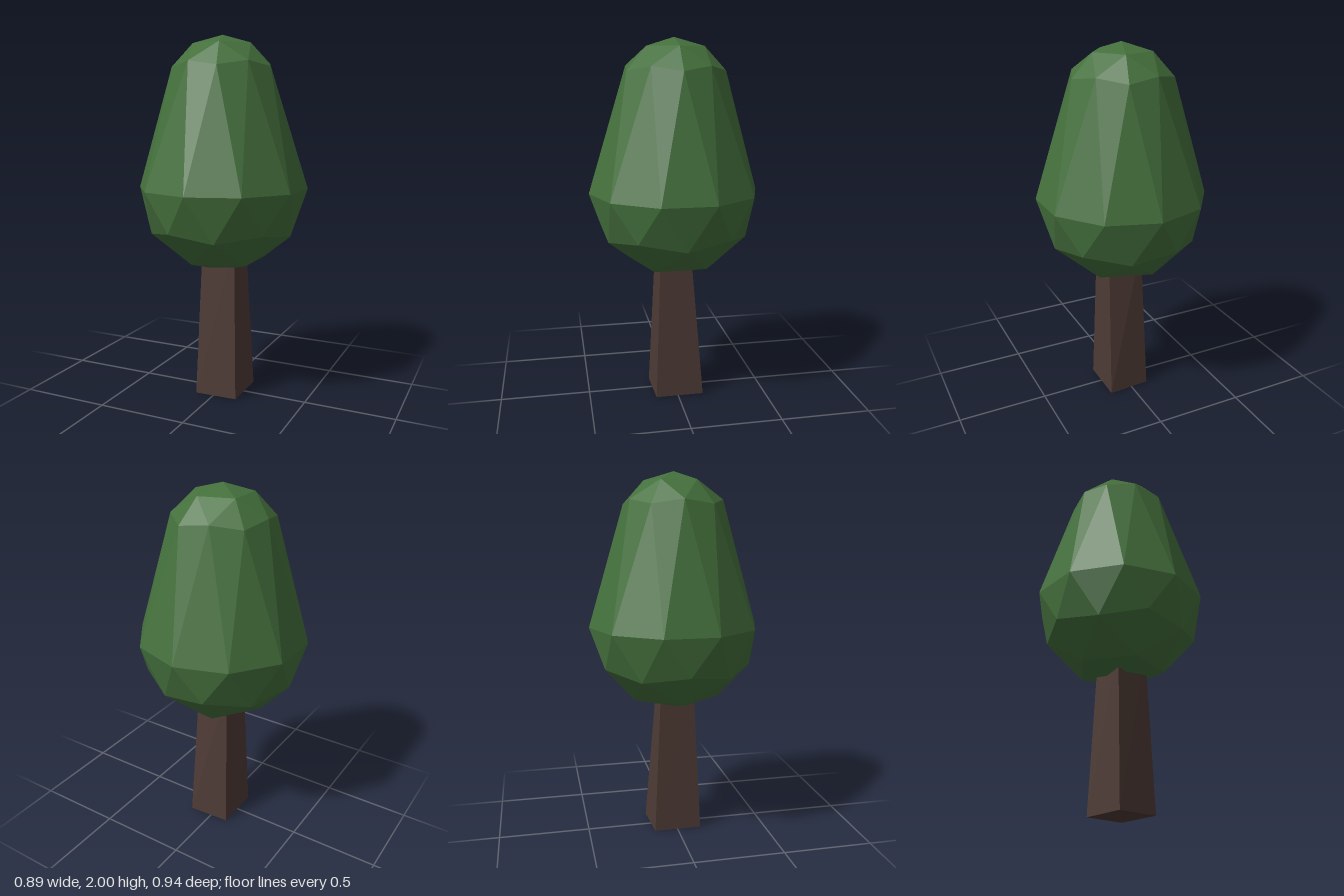
import * as THREE from 'three';

const RADIUS = 0.47, EQUATOR = 1.175, TOP = 2, TAPER = 0.66;

// Faceted crown: a ball standing on a vertex, its upper half shrunk and lifted
function crownGeometry() {
  const g = new THREE.IcosahedronGeometry(RADIUS, 1);
  g.rotateZ(-Math.atan(2 / (1 + Math.sqrt(5))));
  const p = g.attributes.position;
  for (let i = 0; i < p.count; i++) {
    const y = p.getY(i);
    if (y > 0.1 * RADIUS) {
      p.setXYZ(i, p.getX(i) * TAPER, TOP - (RADIUS - y) * TAPER, p.getZ(i) * TAPER);
    } else {
      p.setY(i, EQUATOR + y);
    }
  }
  g.computeVertexNormals();
  return g;
}

// Slightly crooked four-sided trunk, narrowing up into the crown
function trunkGeometry() {
  const height = 0.88;
  const g = new THREE.BoxGeometry(2, 1, 2);
  const p = g.attributes.position;
  for (let i = 0; i < p.count; i++) {
    const top = p.getY(i) > 0;
    const left = p.getX(i) > 0;
    const front = p.getZ(i) > 0;
    const x = left ? (top ? 0.111 : 0.135) : (top ? -0.08 : -0.105);
    let z;
    if (front) z = top ? 0.093 : (left ? 0.125 : 0.135);
    else if (left) z = top ? -0.073 : -0.145;
    else z = top ? -0.087 : -0.13;
    p.setXYZ(i, x, top ? height : 0, z);
  }
  g.computeVertexNormals();
  return g;
}

export function createModel() {
  const tree = new THREE.Group();
  tree.name = 'tree';
  const parts = [
    ['crown', crownGeometry(), 0x44703c],
    ['trunk', trunkGeometry(), 0x4e3b35],
  ];
  for (const [name, geometry, color] of parts) {
    const mesh = new THREE.Mesh(geometry, new THREE.MeshStandardMaterial({ color, flatShading: true }));
    mesh.name = name;
    tree.add(mesh);
  }
  return tree;
}
